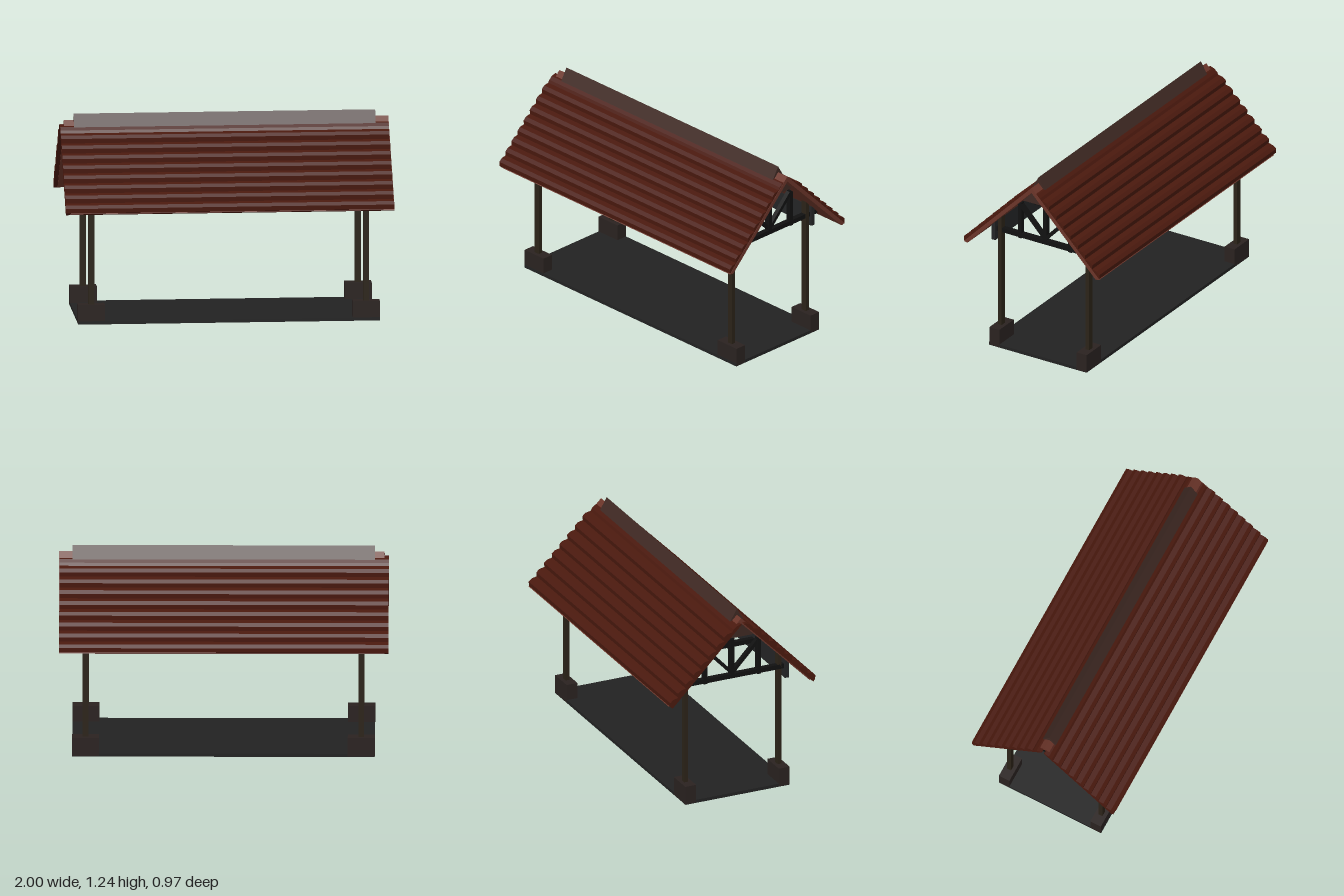
import * as THREE from 'three';

const mat = (color) => new THREE.MeshStandardMaterial({ color, flatShading: true });

export function createModel() {
  const root = new THREE.Group();
  const M = {
    tile: mat(0x4a190e), board: mat(0x6b3529), cap: mat(0x3f2923), floor: mat(0x222222),
    post: mat(0x2b2318), block: mat(0x2a2220), beam: mat(0x111111), plate: mat(0x242526),
    lamp: mat(0x555555), lens: mat(0x8a8a8a),
  };
  const add = (parent, name, geo, material) => {
    const mesh = new THREE.Mesh(geo, material);
    mesh.name = name;
    parent.add(mesh);
    return mesh;
  };
  // box given by its extents
  const box = (parent, name, material, x0, x1, y0, y1, z0, z1) => {
    const m = add(parent, name, new THREE.BoxGeometry(x1 - x0, y1 - y0, z1 - z0), material);
    m.position.set((x0 + x1) / 2, (y0 + y1) / 2, (z0 + z1) / 2);
    return m;
  };
  // prism with a [z, y] outline running along x
  const prism = (parent, name, material, pts, x0, x1) => {
    const shape = new THREE.Shape(pts.map(([z, y]) => new THREE.Vector2(z, y)));
    const geo = new THREE.ExtrudeGeometry(shape, { depth: x1 - x0, bevelEnabled: false });
    geo.rotateY(-Math.PI / 2).translate(x1, 0, 0);
    return add(parent, name, geo, material);
  };

  // floor slab, footings and posts
  box(root, 'floorSlab', M.floor, -0.915, 0.92, 0, 0.02, -0.345, 0.355);
  for (const x of [-0.834, 0.839]) {
    for (const z of [-0.31, 0.318]) {
      box(root, 'footing', M.block, x - 0.082, x + 0.082, 0.003, 0.12, z - 0.036, z + 0.036);
      box(root, 'post', M.post, x - 0.018, x + 0.018, 0.12, 0.865, z - 0.013, z + 0.013);
    }
  }

  // wall plates along both eaves
  for (const z of [-0.35, 0.36])
    box(root, 'wallPlate', M.plate, -0.865, 0.865, 0.69, 0.82, z - 0.013, z + 0.013);

  // five roof trusses
  for (let i = -2; i <= 2; i++) {
    const truss = new THREE.Group();
    truss.name = 'truss';
    truss.position.x = i * 0.418;
    root.add(truss);
    const t = 0.016;
    box(truss, 'tieBeam', M.beam, -t, t, 0.75, 0.779, -0.4, 0.38);
    box(truss, 'kingPost', M.beam, -t, t, 0.779, 1.06, -0.013, 0.013);
    for (const s of [-1, 1]) {
      const q = s * 0.18;
      box(truss, 'queenPost', M.beam, -t, t, 0.745, 0.985, q - 0.013, q + 0.013);
      prism(truss, 'brace', M.beam,
        [[0, 0.768], [s * 0.17, 0.947], [s * 0.17, 0.98], [0, 0.8]], -t + 0.002, t - 0.002);
    }
  }

  // ceiling lamp with its two hanging wires
  box(root, 'lampHousing', M.lamp, -0.05, 0.05, 0.733, 0.75, -0.225, 0.225);
  for (const x of [-0.023, 0.023])
    box(root, 'lampTube', M.lens, x - 0.014, x + 0.014, 0.724, 0.734, -0.2, 0.2);
  for (const z of [-0.2, 0.195])
    box(root, 'lampWire', M.lens, -0.002, 0.002, 0.73, 0.98, z - 0.002, z + 0.002);

  // roof slopes: a board deck covered by stepped tile rows
  const eave = [0.483, 0.708], along = [-0.703, 0.711], out = [0.711, 0.703];
  const rows = 9, pitch = 0.0735;
  for (const s of [-1, 1]) {
    const at = (u, v) => [
      s * (eave[0] + along[0] * u + out[0] * v),
      eave[1] + along[1] * u + out[1] * v,
    ];
    prism(root, 'roofDeck', M.board,
      [[s * 0.487, 0.705], [0, 1.198], [0, 1.164], [s * 0.46, 0.7]], -0.975, 1);

    const profile = [at(0, -0.015)];
    for (let r = 0; r < rows; r++) {
      const u = r * pitch, h = r === rows - 1 ? 0.008 : 0.024;
      profile.push(at(u, 0.003), at(u + 0.018, h), at(u + 0.045, h - 0.002));
    }
    profile.push(at(rows * pitch, -0.008), at(rows * pitch, -0.015));
    prism(root, 'roofTiles', M.tile, profile, -1, 0.998);
  }

  // ridge cap
  prism(root, 'ridgeCap', M.cap, [[-0.11, 1.048], [0.11, 1.048], [0, 1.237]], -0.915, 0.92);

  return root;
}
